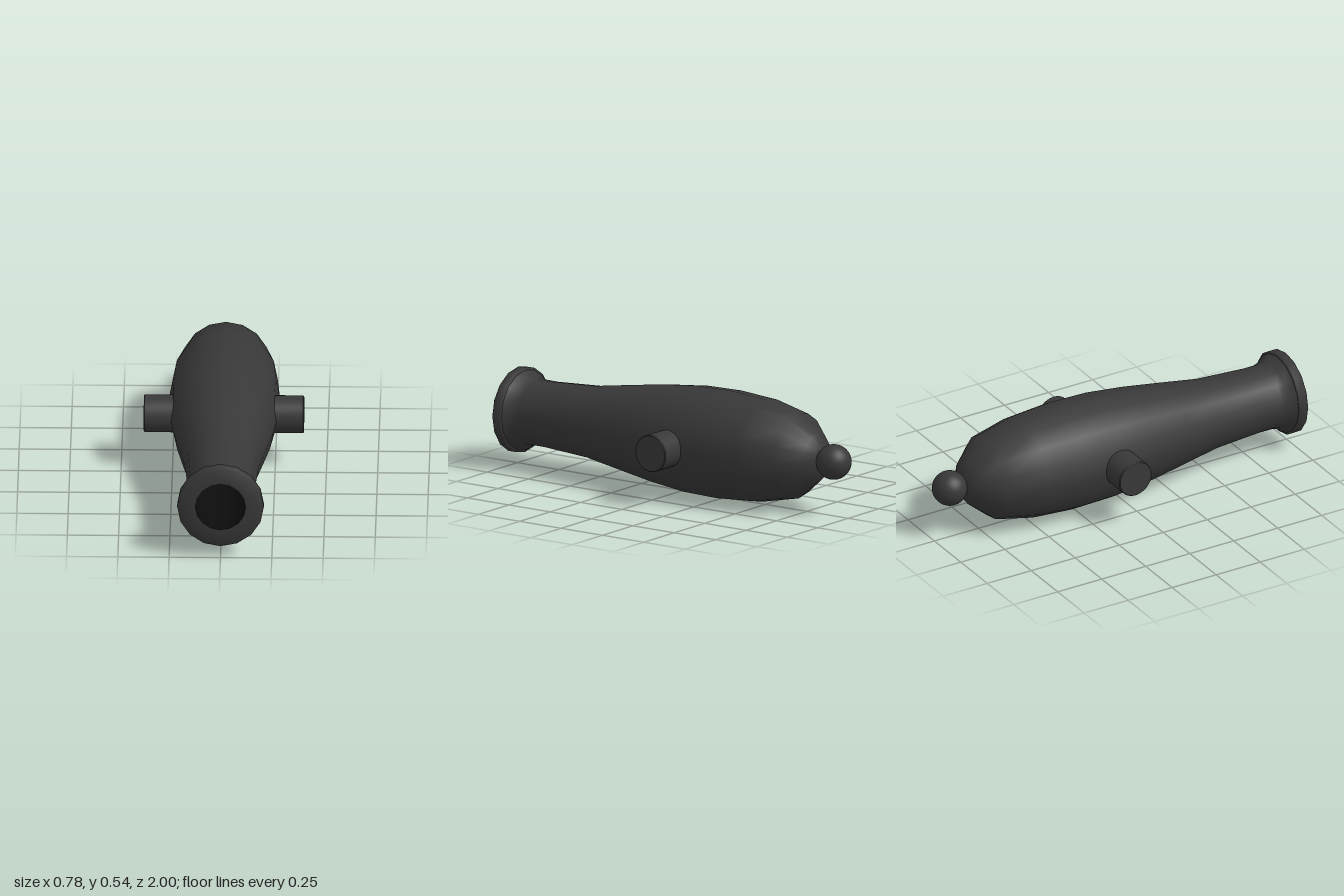
import * as THREE from 'three';
import { toCreasedNormals } from 'three/addons/utils/BufferGeometryUtils.js';

const AXIS_Y = 0.273;

// Revolved profile of [radius, position along axis]
function turned(profile, sides, crease) {
  const points = profile.map(([r, t]) => new THREE.Vector2(r, t));
  return toCreasedNormals(new THREE.LatheGeometry(points, sides), crease);
}

export function createModel() {
  const iron = new THREE.MeshStandardMaterial({ color: 0x383838 });
  iron.name = 'castIron';
  const soot = new THREE.MeshStandardMaterial({ color: 0x0c0c0c });
  soot.name = 'sootBlack';

  const cannon = new THREE.Group();
  cannon.name = 'cannonBarrel';
  const add = (name, geometry, material) => {
    const mesh = new THREE.Mesh(geometry, material);
    mesh.name = name;
    mesh.position.y = AXIS_Y;
    cannon.add(mesh);
    return mesh;
  };

  // Barrel from the rounded breech to the flat muzzle ring
  const barrel = turned([
    [0, -0.85], [0.06, -0.845], [0.118, -0.81], [0.212, -0.7], [0.255, -0.5],
    [0.27, -0.28], [0.266, -0.08], [0.244, 0.12], [0.213, 0.32], [0.179, 0.53],
    [0.163, 0.8], [0.164, 0.88], [0.172, 0.91], [0.2, 0.95],
    [0.206, 0.95], [0.211, 0.955], [0.211, 0.995], [0.206, 1], [0.122, 1],
  ], 16, 0.95);
  barrel.rotateX(Math.PI / 2);
  add('barrel', barrel, iron);

  // Dark bore, facing inward
  const bore = turned([[0.122, 1], [0.122, 0.2], [0, 0.2]], 16, 0.95);
  bore.rotateX(Math.PI / 2);
  add('bore', bore, soot);

  // Knob behind the breech
  add('breechKnob', new THREE.SphereGeometry(0.087, 32, 20), iron).position.z = -0.913;

  // Trunnions with softened ends, one on each side
  for (const side of [1, -1]) {
    const trunnion = turned([
      [0.092, 0.2], [0.092, 0.386], [0.088, 0.39], [0, 0.39],
    ], 32, 0.6);
    trunnion.rotateZ(-side * Math.PI / 2);
    add(side > 0 ? 'leftTrunnion' : 'rightTrunnion', trunnion, iron).position.z = -0.09;
  }

  return cannon;
}
